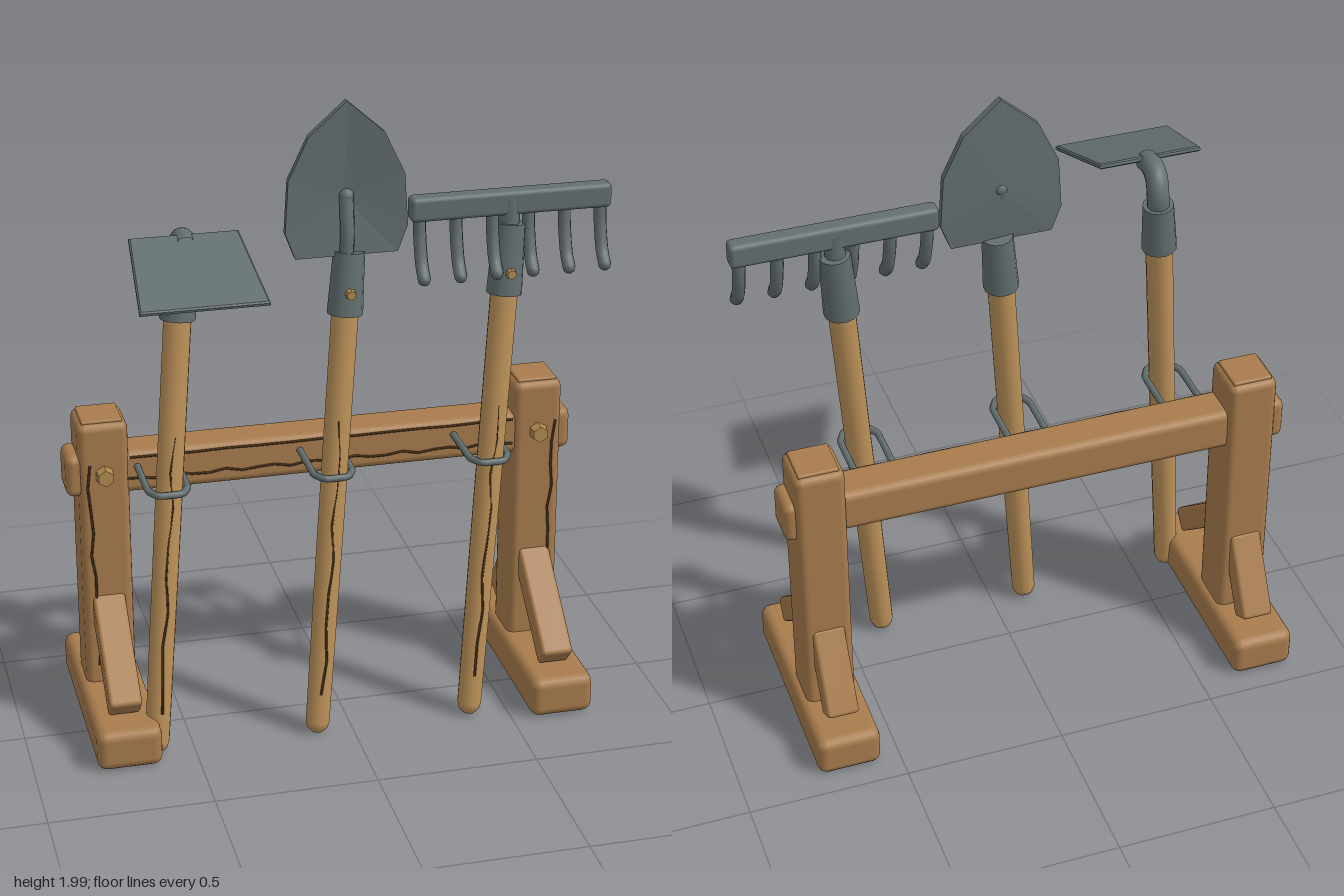
import * as THREE from 'three';
import { RoundedBoxGeometry } from 'three/addons/geometries/RoundedBoxGeometry.js';

const V = (x, y, z) => new THREE.Vector3(x, y, z);
const UP = V(0, 1, 0);
const mat = (color, flatShading = false) => {
  const m = new THREE.MeshStandardMaterial({ color });
  m.flatShading = flatShading;
  return m;
};

export function createModel() {
  const root = new THREE.Group();
  const wood = mat(0xa87c4d), pole = mat(0xbe935a), dark = mat(0x4a3219);
  const metal = mat(0x646f70), plate = mat(0x646f70, true), brass = mat(0xb08a50, true);

  const add = (parent, name, geo, material, x = 0, y = 0, z = 0) => {
    const m = new THREE.Mesh(geo, material);
    m.name = name;
    m.position.set(x, y, z);
    parent.add(m);
    return m;
  };
  const block = (parent, name, w, h, d, x, y, z, r = 0.025, material = wood) =>
    add(parent, name, new RoundedBoxGeometry(w, h, d, 2, r), material, x, y, z);
  const tube = (parent, name, pts, r, material = metal, tension = 0.5, segs = 20, sides = 8) =>
    add(parent, name, new THREE.TubeGeometry(
      new THREE.CatmullRomCurve3(pts, false, 'catmullrom', tension), segs, r, sides), material);
  // turns a mesh so its y axis runs along a direction
  const aim = (mesh, dir) => mesh.quaternion.setFromUnitVectors(UP, dir.clone().normalize());
  // jagged dark grain line between two points
  const crack = (parent, a, b, side, n = 9) => {
    const pts = [];
    for (let i = 0; i <= n; i++) {
      pts.push(a.clone().lerp(b, i / n).addScaledVector(side, 0.006 * Math.sin(i * 2.3 + a.x * 9)));
    }
    tube(parent, 'woodCrack', pts, 0.004, dark, 0, n * 2, 4);
  };

  // Rack: two posts on feet with braces, joined by a beam
  const rack = new THREE.Group();
  rack.name = 'rack';
  root.add(rack);
  for (const x of [-0.71, 0.66]) {
    block(rack, 'foot', 0.2, 0.13, 0.695, x, 0.075, -0.0825, 0.03);
    block(rack, 'post', 0.155, 0.92, 0.165, x, 0.55, -0.1525);
    block(rack, 'postCap', 0.125, 0.02, 0.13, x, 1.007, -0.1525, 0.006);
    for (const [z0, y0, z1, y1] of [[0.178, 0.17, -0.11, 0.42], [-0.337, 0.165, -0.2, 0.407]]) {
      const dir = V(0, y1 - y0, z1 - z0);
      const brace = block(rack, 'brace', 0.1, dir.length(), 0.08, x, (y0 + y1) / 2, (z0 + z1) / 2, 0.012);
      aim(brace, dir);
    }
    const bolt = add(rack, 'bolt', new THREE.CylinderGeometry(0.026, 0.03, 0.035, 6), brass, x, 0.845, -0.055);
    bolt.rotation.x = Math.PI / 2;
    const s = Math.sign(x);
    crack(rack, V(x + s * 0.035, 0.2, -0.068), V(x + s * 0.05, 0.88, -0.068), V(1, 0, 0));
  }
  block(rack, 'beam', 1.595, 0.135, 0.135, -0.0275, 0.8375, -0.1475);
  crack(rack, V(-0.64, 0.818, -0.078), V(0.58, 0.812, -0.078), V(0, 1, 0), 24);
  crack(rack, V(-0.63, 0.888, -0.08), V(0.58, 0.888, -0.08), V(0, 0.2, 0), 12);

  // Leaning handles, each with socket, rivet and a hook on the beam
  const lean = V(0.088, 1, -0.088);
  const makeTool = (name, x0, socketY0, socketY1) => {
    const g = new THREE.Group();
    g.name = name;
    root.add(g);
    const at = (y) => V(x0, 0.04, 0.173).addScaledVector(lean, y - 0.04);
    const len = (socketY0 + 0.05 - 0.01) * lean.length();
    const profile = [[0, 0], [0.018, 0.004], [0.032, 0.018], [0.038, 0.04], [0.041, len * 0.5], [0.042, len]]
      .map(([r, y]) => new THREE.Vector2(r, y));
    const handle = add(g, 'handle', new THREE.LatheGeometry(profile, 12), pole);
    handle.position.copy(at(0.01));
    aim(handle, lean);
    const socket = add(g, 'socket', new THREE.CylinderGeometry(0.047, 0.054,
      (socketY1 - socketY0) * lean.length(), 14), metal);
    socket.position.copy(at((socketY0 + socketY1) / 2));
    aim(socket, lean);
    const p = at(socketY0 + 0.075);
    const rivet = add(g, 'rivet', new THREE.CylinderGeometry(0.014, 0.018, 0.02, 8), brass, p.x, p.y, p.z + 0.054);
    rivet.rotation.x = Math.PI / 2;
    const front = V(0, 0.003, 0.0385);
    crack(g, at(0.15).add(front), at(1.03).add(front), V(1, 0, 0), 8);
    const hx = at(0.857).x - 0.004;
    tube(g, 'hook', [[-0.06, -0.09], [-0.06, 0.1], [-0.035, 0.145], [0.035, 0.145], [0.06, 0.1], [0.06, -0.09]]
      .map(([x, z]) => V(hx + x, 0.857, z)), 0.011, metal, 0.1, 40);
    return { g, at };
  };

  // Hoe: bent neck and a sloping tapered blade
  const hoe = makeTool('hoe', -0.615, 1.38, 1.54);
  tube(hoe.g, 'hoeNeck', [hoe.at(1.5), hoe.at(1.57), V(-0.483, 1.62, 0.062), V(-0.484, 1.638, 0.1),
    V(-0.485, 1.63, 0.15)], 0.034, metal, 0.5, 20, 12);
  const trapezoid = new THREE.Shape([[-0.155, 0.005], [0.155, 0.005], [0.18, 0.325], [-0.18, 0.325]]
    .map(([x, y]) => new THREE.Vector2(x, y)));
  const hoeBlade = add(hoe.g, 'hoeBlade', new THREE.ExtrudeGeometry(trapezoid,
    { depth: 0.008, bevelThickness: 0.004, bevelSize: 0.005, bevelSegments: 1 }), plate, -0.485, 1.66, 0.12);
  hoeBlade.rotation.x = 1.911;

  // Spade: dished blade built as two fans with a rim
  const spade = makeTool('spade', -0.11, 1.35, 1.54);
  const half = [[0.155, 1.53], [0.185, 1.61], [0.175, 1.77], [0.113, 1.9]];
  const rim = [...half, [0, 2], ...half.map(([x, y]) => [-x, y]).reverse()];
  const pos = [];
  const tri = (...pts) => pts.forEach((p) => pos.push(...p));
  rim.forEach(([x, y], i) => {
    const [u, v] = rim[(i + 1) % rim.length];
    tri([0, 1.7, 0.032], [x, y, 0.054], [u, v, 0.054]);
    tri([0, 1.7, 0.018], [u, v, 0.032], [x, y, 0.032]);
    tri([x, y, 0.032], [u, v, 0.032], [u, v, 0.054]);
    tri([x, y, 0.032], [u, v, 0.054], [x, y, 0.054]);
  });
  const bladeGeo = new THREE.BufferGeometry();
  bladeGeo.setAttribute('position', new THREE.Float32BufferAttribute(pos, 3));
  bladeGeo.computeVertexNormals();
  add(spade.g, 'spadeBlade', bladeGeo, plate, 0.012, 0, 0);
  tube(spade.g, 'spadeNeck', [V(0.008, 1.49, 0.062), V(0.012, 1.6, 0.058), V(0.015, 1.7, 0.036)], 0.022);
  add(spade.g, 'neckTip', new THREE.SphereGeometry(0.023, 10, 8), metal, 0.015, 1.707, 0.034);

  // Rake: bar with six forward-curling tines
  const rake = makeTool('rake', 0.38, 1.37, 1.585);
  tube(rake.g, 'rakeNeck', [rake.at(1.55), V(0.513, 1.66, 0.037)], 0.032, metal, 0.5, 4, 10);
  block(rake.g, 'rakeBar', 0.62, 0.075, 0.056, 0.515, 1.652, 0.038, 0.014, metal);
  for (let i = 0; i < 6; i++) {
    const x = 0.235 + i * 0.112;
    tube(rake.g, 'tine', [V(x, 1.63, 0.04), V(x, 1.56, 0.05), V(x, 1.49, 0.074), V(x, 1.452, 0.104)], 0.02);
    add(rake.g, 'tineTip', new THREE.SphereGeometry(0.02, 8, 6), metal, x, 1.452, 0.104);
  }
  return root;
}
